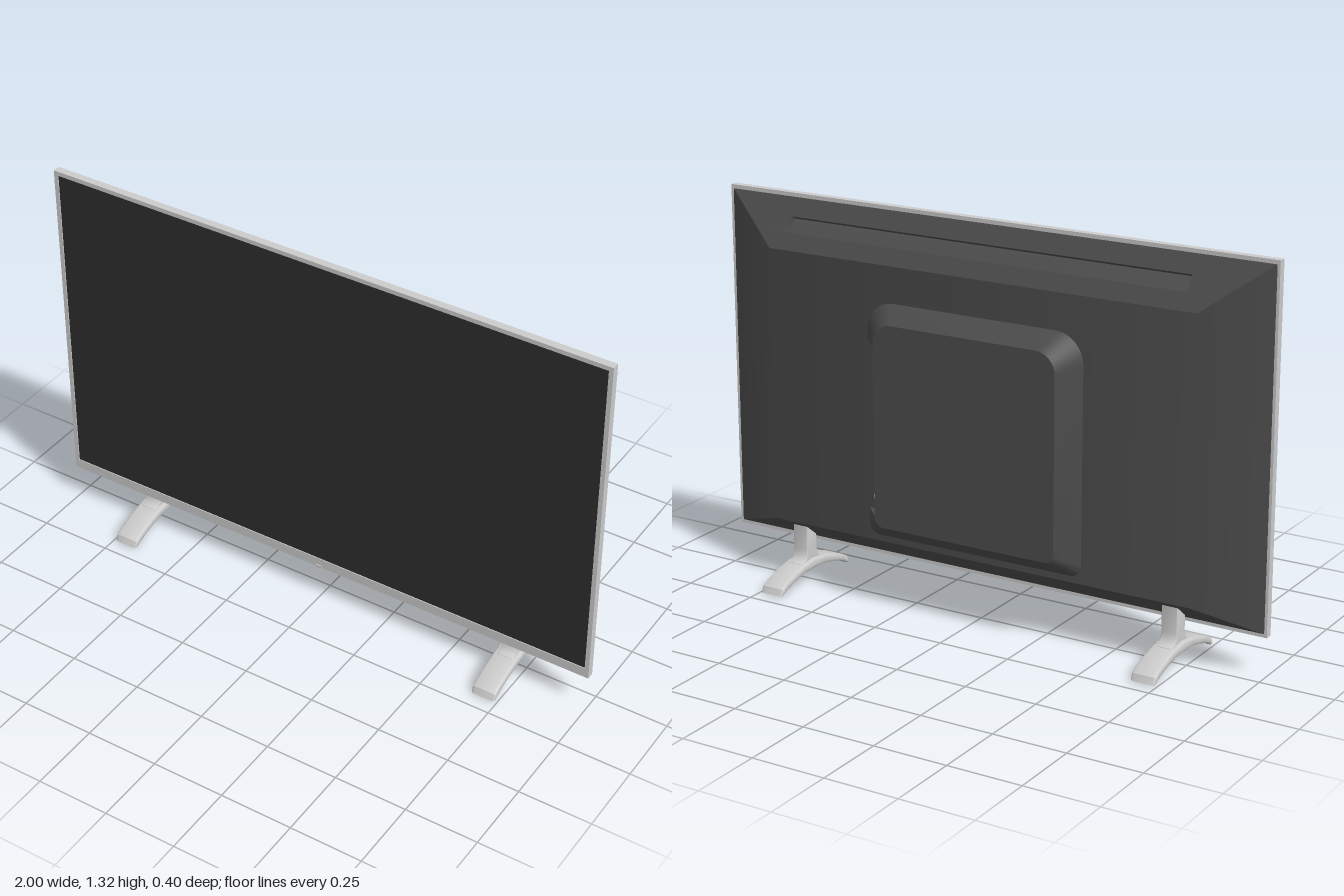
import * as THREE from 'three';
import { toCreasedNormals } from 'three/addons/utils/BufferGeometryUtils.js';

const mat = (color) => new THREE.MeshStandardMaterial({ color, side: THREE.DoubleSide });
const grey = mat(0xcccccc), screenMat = mat(0x2e2e2e), shellMat = mat(0x4c4c4c);
const panelMat = mat(0x8c8c8c), darkMat = mat(0x303030);

function add(parent, name, geometry, material, x = 0, y = 0, z = 0) {
  const mesh = new THREE.Mesh(geometry, material);
  mesh.name = name;
  mesh.position.set(x, y, z);
  parent.add(mesh);
  return mesh;
}

// Geometry from a list of polygons (3 or 4 corners each)
function faces(list) {
  const pos = [];
  for (const [a, b, c, d] of list) {
    pos.push(...a, ...b, ...c);
    if (d) pos.push(...a, ...c, ...d);
  }
  const g = new THREE.BufferGeometry();
  g.setAttribute('position', new THREE.Float32BufferAttribute(pos, 3));
  return toCreasedNormals(g, 0.5);
}

function rect(x0, x1, y0, y1, Kind = THREE.Shape) {
  return new Kind([[x0, y0], [x1, y0], [x1, y1], [x0, y1]].map((p) => new THREE.Vector2(...p)));
}

// Rounded rectangle, starting at the +x side's upper corner and running round to its lower one
function ring(hw, y0, y1, rTop, rBottom, z) {
  const pts = [], n = 8;
  const corners = [[1, 1], [-1, 1], [-1, -1], [1, -1]];
  corners.forEach(([sx, sy], k) => {
    const r = sy > 0 ? rTop : rBottom;
    for (let i = 0; i <= n; i++) {
      const a = (k + i / n) * Math.PI / 2;
      pts.push([sx * (hw - r) + r * Math.cos(a), (sy > 0 ? y1 - r : y0 + r) + r * Math.sin(a), z]);
    }
  });
  return pts;
}

// Tapered rear shell with a wedge-shaped vent groove in its top slope
function shellGeometry() {
  const F = [[-0.995, 0.14, 0.045], [0.995, 0.14, 0.045], [0.995, 1.31, 0.045], [-0.995, 1.31, 0.045]];
  const B = [[-0.78, 0.215, -0.052], [0.78, 0.215, -0.052], [0.78, 1.15, -0.052], [-0.78, 1.15, -0.052]];
  const list = [[B[3], B[2], B[1], B[0]]];
  for (const i of [0, 1, 3]) {
    const j = (i + 1) % 4;
    list.push([F[j], F[i], B[i], B[j]]);
  }
  const P = (x, t) => [x, 1.31 - 0.16 * t, 0.045 - 0.097 * t];
  const edge = (t) => 0.995 - 0.215 * t;
  const t0 = 0.38, t1 = 0.68, w = 0.73;
  const band = (a, b) => list.push([P(-edge(a), a), P(edge(a), a), P(edge(b), b), P(-edge(b), b)]);
  band(0, t0);
  band(t1, 1);
  const deep = (x) => { const p = P(x, t0); return [x, p[1] - 0.01, p[2] + 0.017]; };
  for (const s of [-1, 1]) {
    list.push([P(s * w, t0), P(s * edge(t0), t0), P(s * edge(t1), t1), P(s * w, t1)]);
    list.push([P(s * w, t0), deep(s * w), P(s * w, t1)]);
  }
  list.push([P(-w, t0), P(w, t0), deep(w), deep(-w)]);
  list.push([deep(-w), deep(w), P(w, t1), P(-w, t1)]);
  return faces(list);
}

// Sloped wall of the electronics housing, notched on +x for the ports
const HX = 0.335, HZ = -0.118, N0 = 0.325, N1 = 0.9;
function housingGeometry(base, top) {
  const list = [], last = base.length - 1;
  for (let i = 0; i < last; i++) list.push([base[i], base[i + 1], top[i + 1], top[i]]);
  const b = (y) => [0.4, y, -0.05], t = (y) => [HX, y, HZ], f = (y) => [HX, y, -0.05];
  list.push([base[last], b(N0), t(N0), top[last]]);
  list.push([b(N1), base[0], top[0], t(N1)]);
  list.push([f(N0), f(N1), t(N1), t(N0)]);
  for (const y of [N0, N1]) list.push([b(y), f(y), t(y)]);
  return faces(list);
}

// Leg part: half outline in (z, y) mirrored and extruded across x
function legGeometry(half, width, bevel) {
  const pts = [...half, ...half.slice().reverse().filter((p) => p[0] > 0).map(([z, y]) => [-z, y])];
  const g = new THREE.ExtrudeGeometry(new THREE.Shape(pts.map((p) => new THREE.Vector2(...p))), {
    depth: width - 2 * bevel, bevelEnabled: true, bevelSize: bevel, bevelThickness: bevel,
    bevelOffset: -bevel, bevelSegments: 3,
  });
  g.translate(0, 0, bevel - width / 2).rotateY(-Math.PI / 2);
  return toCreasedNormals(g, 0.6);
}

export function createModel() {
  const model = new THREE.Group();
  model.name = 'television';

  // Bezel frame and screen
  const frame = rect(-1, 1, 0.13, 1.32);
  frame.holes.push(rect(-0.985, 0.985, 0.165, 1.305, THREE.Path));
  add(model, 'bezel', new THREE.ExtrudeGeometry(frame, { depth: 0.026, bevelEnabled: false }), grey, 0, 0, 0.043);
  add(model, 'screen', new THREE.BoxGeometry(1.97, 1.14, 0.021), screenMat, 0, 0.735, 0.0555);
  add(model, 'remoteSensor', new THREE.BoxGeometry(0.02, 0.01, 0.006), grey, 0, 0.134, 0.069);

  // Rear shell and electronics housing
  add(model, 'rearShell', shellGeometry(), shellMat);
  const base = ring(0.4, 0.235, 1.03, 0.1, 0.04, -0.05);
  const top = ring(HX, 0.29, 0.975, 0.07, 0.03, HZ);
  add(model, 'housingWall', housingGeometry(base, top), shellMat);
  const cover = new THREE.Shape(top.map(([x, y]) => new THREE.Vector2(-x, y)));
  add(model, 'housingCover', new THREE.ShapeGeometry(cover).rotateY(Math.PI), shellMat, 0, 0, HZ);

  // Port panel and connectors, facing +x
  const ports = new THREE.Group();
  ports.name = 'ports';
  ports.position.set(HX + 0.002, 0, -0.085);
  model.add(ports);
  const plate = new THREE.Shape(ring(0.03, N0, N1, 0.012, 0.012, 0).map(([x, y]) => new THREE.Vector2(x, y)));
  add(ports, 'portPanel', new THREE.ShapeGeometry(plate).rotateY(Math.PI / 2), panelMat);
  const disc = (name, r, depth, material, y, z = 0) =>
    add(ports, name, new THREE.CylinderGeometry(r, r, depth, 20).rotateZ(-Math.PI / 2), material, depth / 2, y, z);
  [[0.8, 0xc8c020], [0.755, 0xdddddd], [0.71, 0xc83020]].forEach(([y, color]) => {
    disc('jackRing', 0.012, 0.006, mat(color), y);
    disc('jackHole', 0.006, 0.008, darkMat, y);
  });
  for (const y of [0.63, 0.577, 0.524]) {
    add(ports, 'slotRim', new THREE.BoxGeometry(0.006, 0.046, 0.012), grey, 0.003, y, 0);
    add(ports, 'slotOpening', new THREE.BoxGeometry(0.008, 0.038, 0.005), darkMat, 0.004, y, 0);
  }
  for (const y of [0.437, 0.457]) {
    for (const z of [-0.011, 0.011]) {
      disc('smallJack', 0.008, 0.003, darkMat, y, z);
      disc('smallJackCentre', 0.006, 0.004, panelMat, y, z);
    }
  }
  disc('aerialBase', 0.018, 0.004, darkMat, 0.385);
  disc('aerialSocket', 0.015, 0.012, grey, 0.385);
  disc('aerialPin', 0.005, 0.014, darkMat, 0.385);

  // Two legs: arched foot and flared post
  const foot = legGeometry([[0, 0.045], [0.06, 0.041], [0.12, 0.028], [0.165, 0.013], [0.19, 0], [0.2, 0.003],
    [0.19, 0.025], [0.165, 0.039], [0.11, 0.058], [0.06, 0.069], [0, 0.077]], 0.085, 0.008);
  const post = legGeometry([[0, 0.055], [0.06, 0.06], [0.06, 0.07], [0.044, 0.076], [0.033, 0.088], [0.027, 0.108],
    [0.027, 0.2], [0, 0.2]], 0.056, 0.003);
  for (const s of [-1, 1]) {
    const leg = new THREE.Group();
    leg.name = s > 0 ? 'leftLeg' : 'rightLeg';
    leg.position.x = s * 0.7;
    add(leg, 'foot', foot, grey);
    add(leg, 'post', post, grey);
    model.add(leg);
  }
  return model;
}
